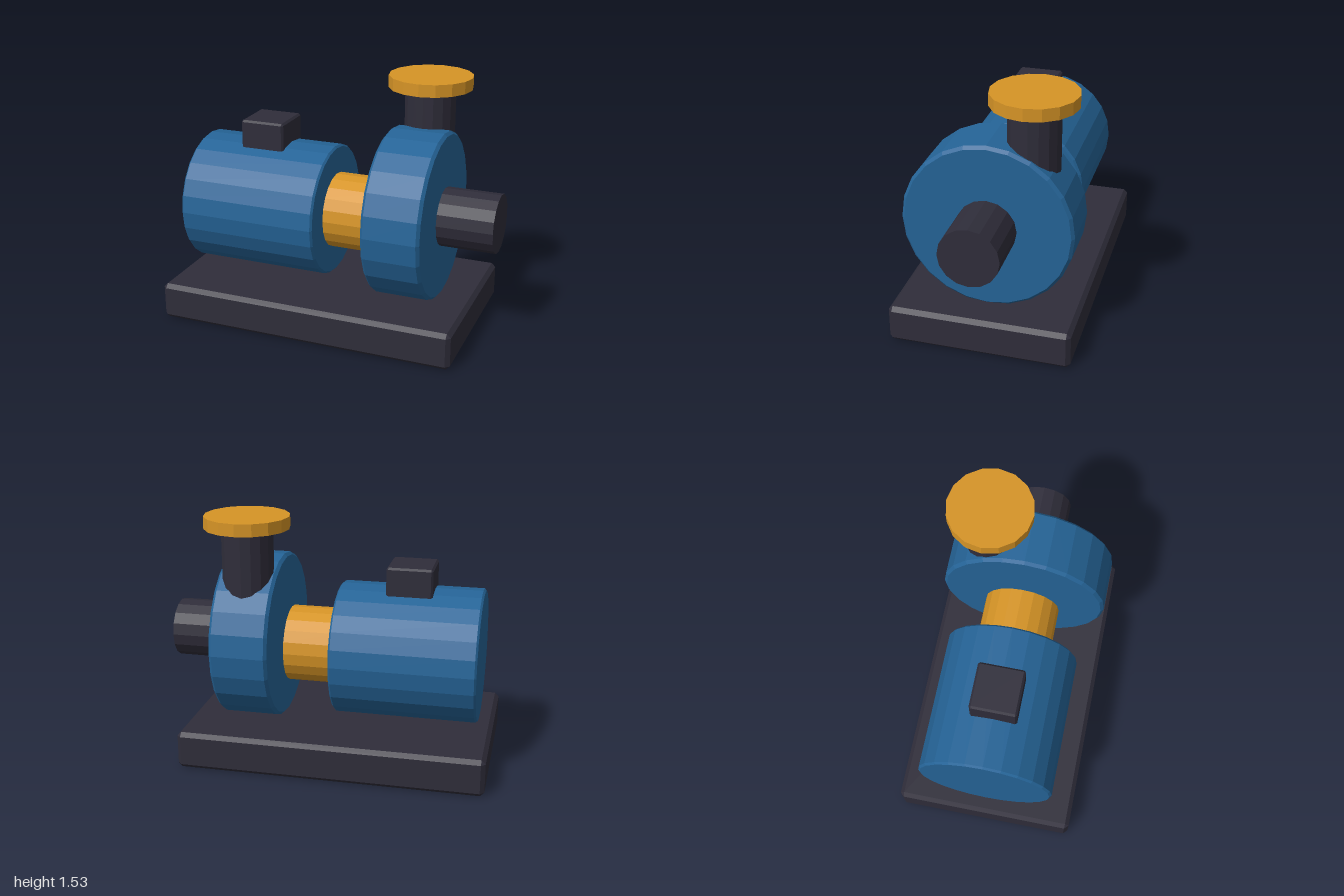
import * as THREE from 'three';
import { ConvexGeometry } from 'three/addons/geometries/ConvexGeometry.js';

export function createModel() {
  const group = new THREE.Group();
  const material = (name, color) => {
    const m = new THREE.MeshStandardMaterial({ color, flatShading: true });
    m.name = name;
    return m;
  };
  const blue = material('blue paint', 0x256497);
  const dark = material('dark iron', 0x2f2d3a);
  const gold = material('golden yellow', 0xd69426);

  const add = (name, geometry, mat, x, y, z) => {
    const mesh = new THREE.Mesh(geometry, mat);
    mesh.name = name;
    mesh.position.set(x, y, z);
    group.add(mesh);
    return mesh;
  };

  // Box with every edge cut by a 45 degree chamfer c
  const chamferBox = (w, h, d, c) => {
    const points = [];
    const half = [w / 2, h / 2, d / 2];
    for (const sx of [-1, 1]) for (const sy of [-1, 1]) for (const sz of [-1, 1])
      for (let axis = 0; axis < 3; axis++) {
        const p = half.map((v, i) => (i === axis ? v : v - c));
        points.push(new THREE.Vector3(p[0] * sx, p[1] * sy, p[2] * sz));
      }
    return new ConvexGeometry(points);
  };

  // Closed faceted drum along y, with optional chamfered rims
  const drum = (r, length, sides, c = 0) => {
    const h = length / 2;
    const profile = c
      ? [[0, -h], [r - c, -h], [r, -h + c], [r, h - c], [r - c, h], [0, h]]
      : [[0, -h], [r, -h], [r, h], [0, h]];
    return new THREE.LatheGeometry(profile.map(([x, y]) => new THREE.Vector2(x, y)), sides);
  };

  // Drum lying along x between x0 and x1
  const shaftPart = (name, mat, x0, x1, y, r, sides, c) =>
    add(name, drum(r, x1 - x0, sides, c).rotateZ(-Math.PI / 2), mat, (x0 + x1) / 2, y, 0);

  // Base plate
  add('basePlate', chamferBox(1.87, 0.23, 1.1, 0.025), dark, -0.065, 0.115, 0);

  // Motor with its terminal box
  shaftPart('motorBody', blue, -0.915, -0.04, 0.675, 0.41, 24, 0.012);
  add('terminalBox', chamferBox(0.28, 0.23, 0.28, 0.012), dark, -0.478, 1.115, 0);

  // Coupling, pump casing and inlet
  shaftPart('coupling', gold, -0.06, 0.275, 0.675, 0.235, 20);
  shaftPart('pumpCasing', blue, 0.302, 0.658, 0.73, 0.515, 24, 0.018);
  shaftPart('inletPipe', dark, 0.62, 1, 0.73, 0.18, 16);

  // Discharge pipe and flange, offset to the back
  add('dischargePipe', drum(0.155, 0.53, 16), dark, 0.48, 1.195, -0.235);
  add('dischargeFlange', drum(0.257, 0.075, 16), gold, 0.48, 1.493, -0.235);

  return group;
}
